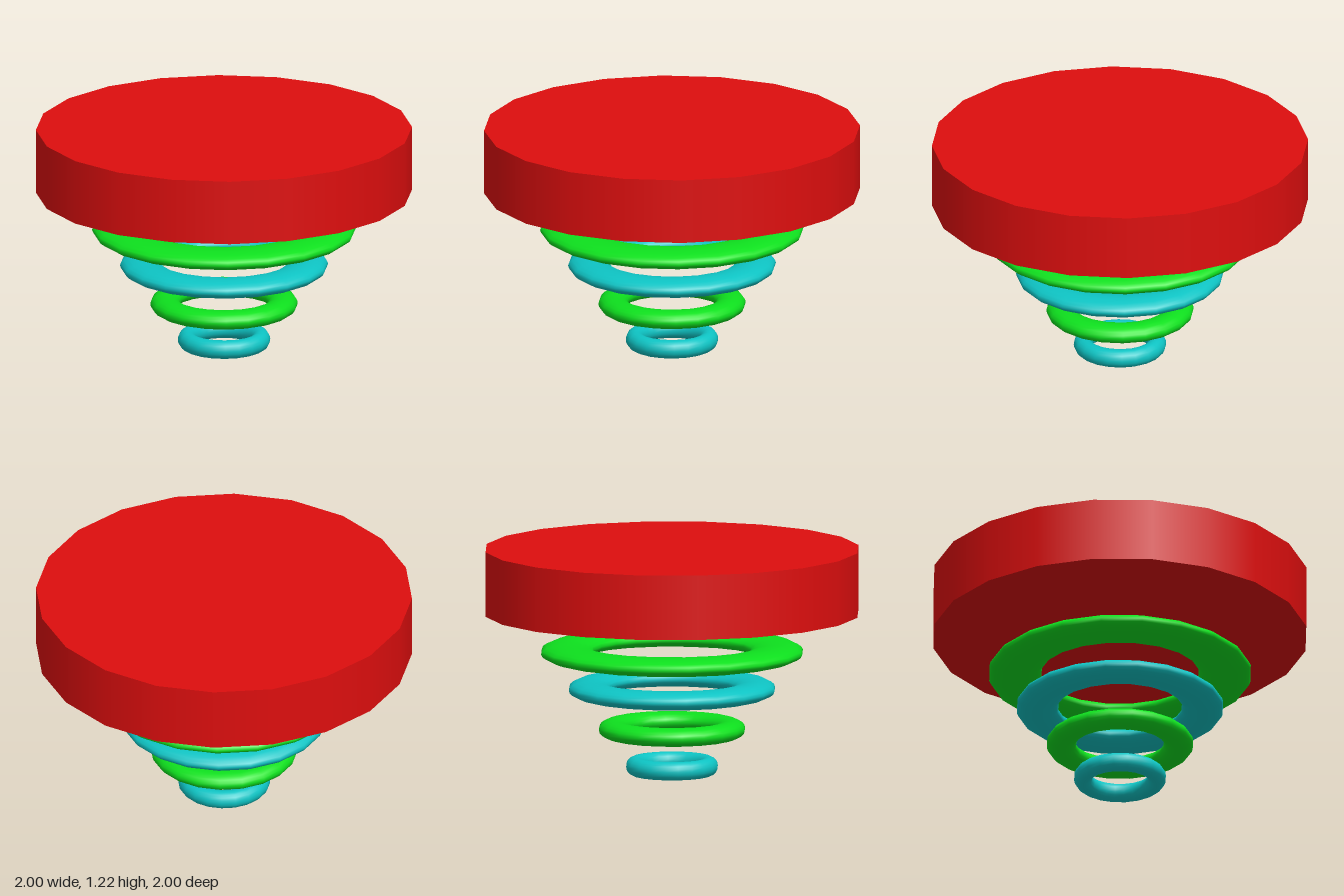
import * as THREE from 'three';

const SIDES = 20;

export function createModel() {
  const model = new THREE.Group();
  const red = new THREE.MeshStandardMaterial({ color: 0xdd0e0e });
  const green = new THREE.MeshStandardMaterial({ color: 0x0ee01e });
  const teal = new THREE.MeshStandardMaterial({ color: 0x0ec4c4 });

  // Thick disc on top
  const disc = new THREE.Mesh(new THREE.CylinderGeometry(1, 1, 0.346, SIDES), red);
  disc.name = 'topDisc';
  disc.position.y = 1.044;
  model.add(disc);

  // Floating rings: one torus widened step by step, its height unchanged
  const ringGeometry = new THREE.TorusGeometry(0.8, 0.2, 20, SIDES).rotateX(Math.PI / 2);
  const rings = [
    ['bottomRing', 0.246, 0.05, teal],
    ['lowerRing', 0.392, 0.249, green],
    ['upperRing', 0.553, 0.464, teal],
    ['topRing', 0.702, 0.662, green],
  ];
  for (const [name, radius, y, material] of rings) {
    const ring = new THREE.Mesh(ringGeometry, material);
    ring.name = name;
    ring.scale.set(radius, 0.247, radius);
    ring.position.y = y;
    model.add(ring);
  }
  return model;
}
